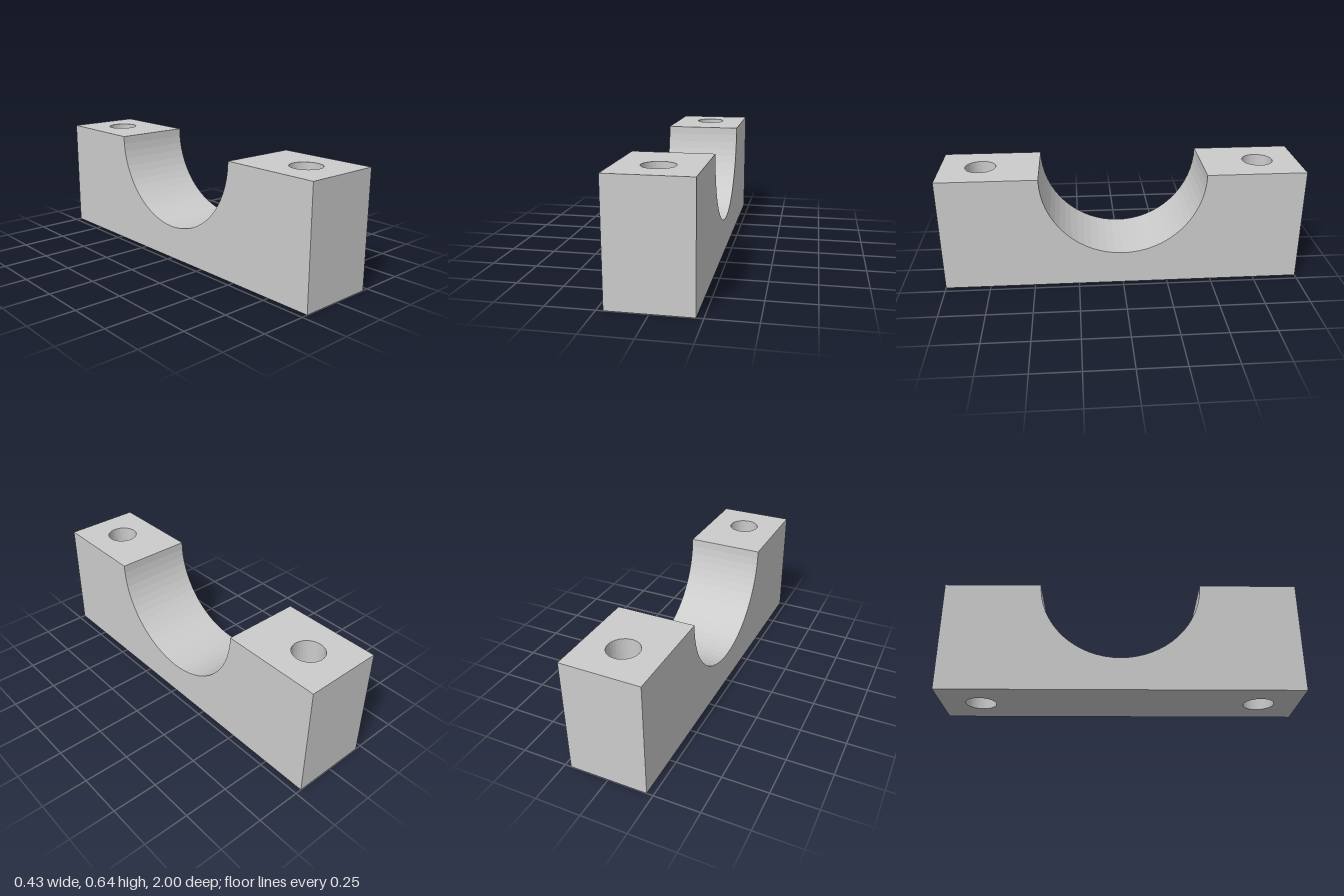
import * as THREE from 'three';

const W = 0.43, H = 0.64, L = 2;        // width (x), height (y), length (z)
const R = 0.453;                        // saddle radius
const HOLE_R = 0.085, HOLE_Z = 0.777;   // bolt holes
const SEG = 32;

// Open cylinder facing its own axis
function innerWall(radius, length, segments, start, sweep) {
  const g = new THREE.CylinderGeometry(radius, radius, length, segments, 1, true, start, sweep);
  g.index.array.reverse();
  const n = g.attributes.normal;
  for (let i = 0; i < n.array.length; i++) n.array[i] *= -1;
  return g;
}

// Flat rectangle across the block, centred on x, with round holes along its length
function plate(y0, y1, holeYs) {
  const s = new THREE.Shape();
  s.moveTo(-W / 2, y0).lineTo(W / 2, y0).lineTo(W / 2, y1).lineTo(-W / 2, y1).closePath();
  for (const y of holeYs) {
    s.holes.push(new THREE.Path().absarc(0, y, HOLE_R, 0, Math.PI * 2, true));
  }
  return new THREE.ShapeGeometry(s, SEG / 2);
}

export function createModel() {
  const model = new THREE.Group();
  model.name = 'bearingSaddleBlock';
  const mat = new THREE.MeshStandardMaterial({ color: 0xcccccc, flatShading: true });
  const add = (name, geometry) => {
    const mesh = new THREE.Mesh(geometry, mat);
    mesh.name = name;
    model.add(mesh);
  };

  // Long sides with the half-round cut-out
  const profile = new THREE.Shape();
  profile.moveTo(-L / 2, 0).lineTo(L / 2, 0).lineTo(L / 2, H).lineTo(R, H);
  profile.absarc(0, H, R, 0, -Math.PI, true);
  profile.lineTo(-L / 2, H).closePath();
  for (const [side, s] of [['left', 1], ['right', -1]]) {
    add(side + 'Side', new THREE.ShapeGeometry(profile, SEG / 2)
      .rotateY(s * Math.PI / 2).translate(s * W / 2, 0, 0));
  }

  // Half-round saddle
  add('saddle', innerWall(R, W, SEG, Math.PI, Math.PI)
    .rotateZ(Math.PI / 2).translate(0, H, 0));

  // Underside with both bolt holes
  add('underside', plate(-L / 2, L / 2, [-HOLE_Z, HOLE_Z]).rotateX(Math.PI / 2));

  // End faces, top pads and bolt bores
  for (const [end, s] of [['front', 1], ['back', -1]]) {
    add(end + 'End', new THREE.PlaneGeometry(W, H)
      .rotateY(s > 0 ? 0 : Math.PI).translate(0, H / 2, s * L / 2));
    const [a, b] = s > 0 ? [-L / 2, -R] : [R, L / 2];
    add(end + 'Pad', plate(a, b, [-s * HOLE_Z]).rotateX(-Math.PI / 2).translate(0, H, 0));
    add(end + 'BoltHole', innerWall(HOLE_R, H, SEG, 0, Math.PI * 2)
      .translate(0, H / 2, s * HOLE_Z));
  }
  return model;
}
